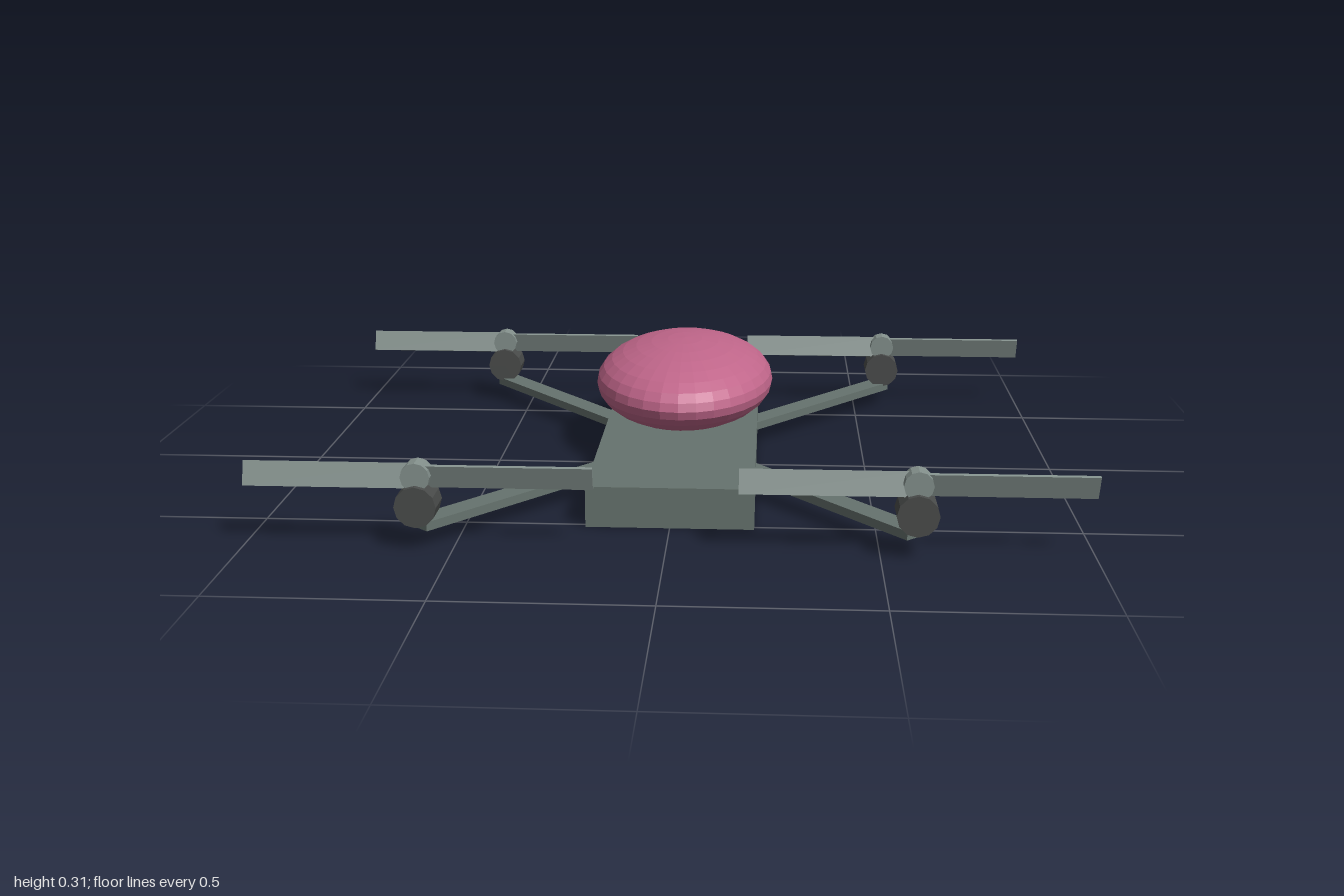
import * as THREE from 'three';

const paint = (color) => new THREE.MeshStandardMaterial({ color, flatShading: true });

export function createModel() {
  const model = new THREE.Group();
  model.name = 'quadcopter';
  const frameMat = paint(0x66736e);
  const motorMat = paint(0x4a4c4b);
  const rotorMat = paint(0x84918d);
  const canopyMat = paint(0xc0668a);

  const add = (parent, name, geometry, material, x, y, z) => {
    const mesh = new THREE.Mesh(geometry, material);
    mesh.name = name;
    mesh.position.set(x, y, z);
    parent.add(mesh);
    return mesh;
  };

  // Flat slab body and egg-shaped canopy sunk into its rear half
  add(model, 'body', new THREE.BoxGeometry(0.412, 0.103, 1.034), frameMat, 0, 0.0515, 0);
  const canopy = new THREE.SphereGeometry(1, 32, 16).scale(0.247, 0.115, 0.371);
  add(model, 'canopy', canopy, canopyMat, 0, 0.19, -0.21);

  // Shared arm and rotor geometry; motors and hubs lie along z
  const tip = new THREE.Vector2(0.583, 0.666);
  const root = new THREE.Vector2(0.1, 0.111);
  const armGeo = new THREE.BoxGeometry(0.06, 0.022, tip.distanceTo(root));
  const motorGeo = new THREE.CylinderGeometry(0.05, 0.05, 0.075, 12).rotateX(Math.PI / 2);
  const hubGeo = new THREE.CylinderGeometry(0.035, 0.035, 0.048, 12).rotateX(Math.PI / 2);
  const bladeGeo = new THREE.BoxGeometry(0.413, 0.06, 0.008);

  for (const sx of [1, -1]) {
    for (const sz of [1, -1]) {
      const unit = new THREE.Group();
      unit.name = `${sz > 0 ? 'front' : 'back'}${sx > 0 ? 'Left' : 'Right'}Rotor`;
      model.add(unit);
      const x = sx * tip.x, z = sz * tip.y;

      const arm = add(unit, 'arm', armGeo, frameMat,
        sx * (tip.x + root.x) / 2, 0.054, sz * (tip.y + root.y) / 2);
      arm.rotation.y = Math.atan2(sx * (tip.x - root.x), sz * (tip.y - root.y));

      add(unit, 'motor', motorGeo, motorMat, x, 0.107, z);
      add(unit, 'hub', hubGeo, rotorMat, x, 0.176, z);

      // Two blades pitched in opposite directions
      for (const side of [1, -1]) {
        const blade = add(unit, 'blade', bladeGeo, rotorMat, x + side * 0.2065, 0.173, z - 0.002);
        blade.rotation.x = side * 0.32;
      }
    }
  }
  return model;
}
